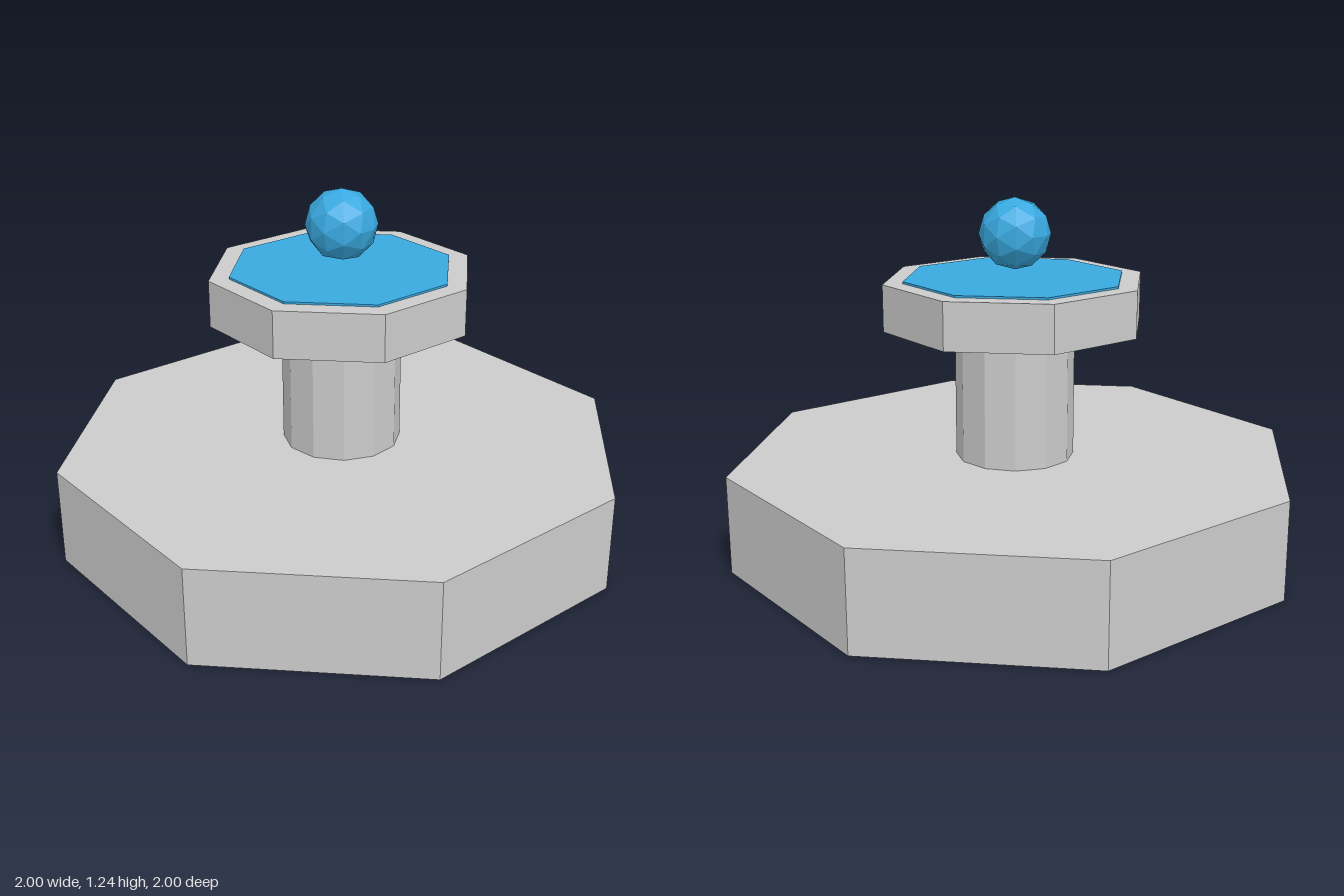
import * as THREE from 'three';

export function createModel() {
  const model = new THREE.Group();
  const grey = new THREE.MeshStandardMaterial({ color: 0xcccccc, flatShading: true });
  const blue = new THREE.MeshStandardMaterial({ color: 0x39a9e0, flatShading: true });

  // Upright prism between two heights
  function prism(name, radius, bottom, top, sides, material) {
    const mesh = new THREE.Mesh(new THREE.CylinderGeometry(radius, radius, top - bottom, sides), material);
    mesh.name = name;
    mesh.position.y = (bottom + top) / 2;
    model.add(mesh);
  }

  prism('base', 1, 0, 0.342, 8, grey);
  prism('column', 0.206, 0.342, 0.805, 12, grey);
  prism('platform', 0.457, 0.805, 0.966, 8, grey);
  prism('topPanel', 0.388, 0.966, 0.973, 8, blue);

  // Faceted ball hovering over the panel
  const ball = new THREE.Mesh(new THREE.IcosahedronGeometry(0.123, 1), blue);
  ball.name = 'floatingBall';
  ball.position.y = 1.119;
  model.add(ball);

  return model;
}
